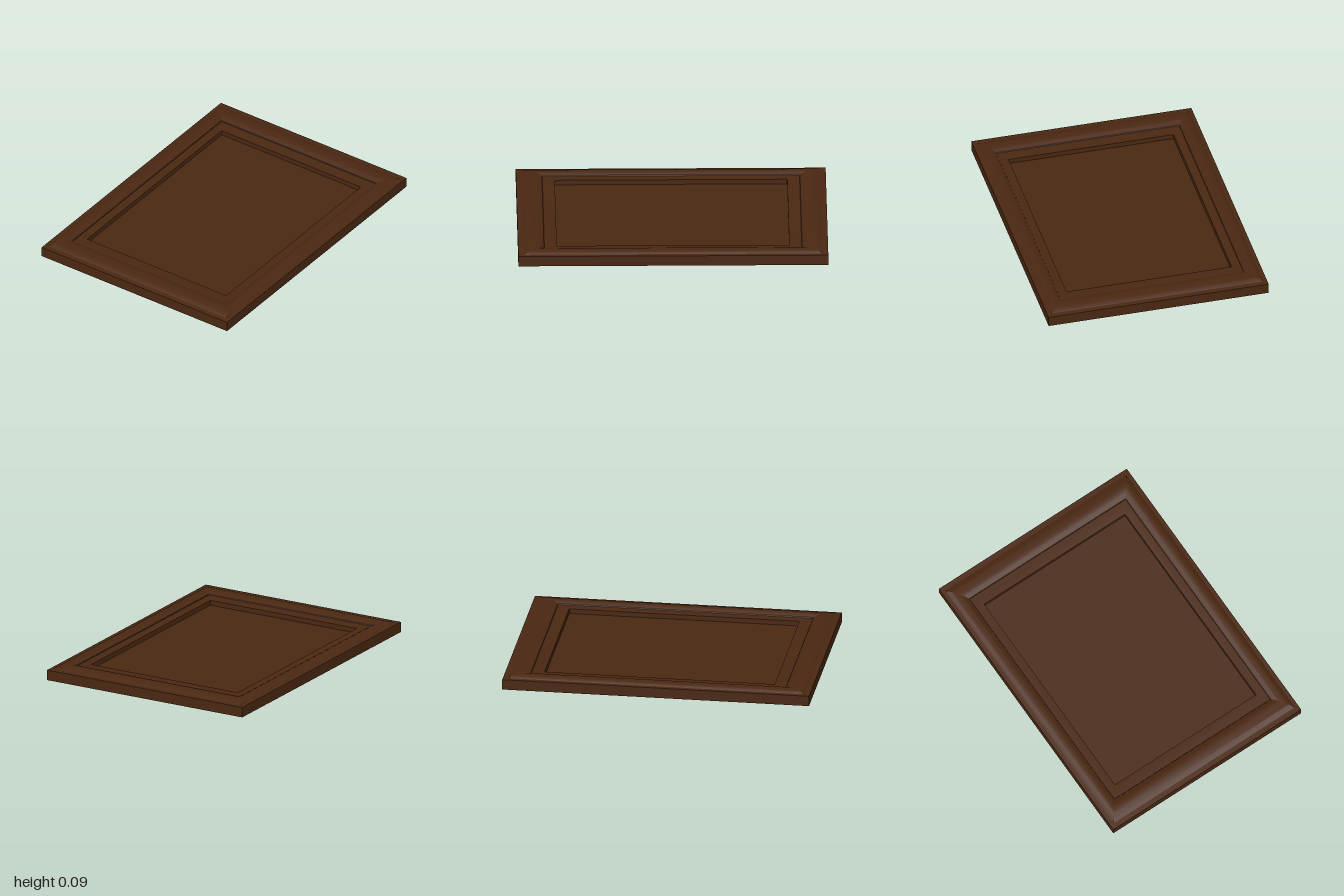
import * as THREE from 'three';
import { toCreasedNormals } from 'three/addons/utils/BufferGeometryUtils.js';

const DEPTH = 0.733; // the moulding narrows with the depth of the frame
const INNER = 0.25, PANEL_TOP = 0.033;

// Sweep an (inset, height) profile around four mitred sides
function mitredFrame(profile) {
  const corners = [[-1, 1], [1, 1], [1, -1], [-1, -1]];
  const at = ([inset, y], k) => {
    const [sx, sz] = corners[k % 4];
    return [sx * (1 - inset), y, sz * DEPTH * (1 - inset)];
  };
  const positions = [];
  for (let k = 0; k < 4; k++) {
    for (let i = 0; i < profile.length - 1; i++) {
      const a = at(profile[i], k), b = at(profile[i], k + 1);
      const c = at(profile[i + 1], k + 1), d = at(profile[i + 1], k);
      positions.push(...a, ...b, ...c, ...a, ...c, ...d);
    }
  }
  const geometry = new THREE.BufferGeometry();
  geometry.setAttribute('position', new THREE.Float32BufferAttribute(positions, 3));
  return toCreasedNormals(geometry, 0.35);
}

export function createModel() {
  const group = new THREE.Group();
  group.name = 'framedPanel';
  const wood = new THREE.MeshStandardMaterial({ color: 0x4a2812 });

  // Moulded frame: underside, outer wall, rounded crest, small step, inner wall
  const profile = [
    [INNER, 0], [0, 0], [0, 0.068], [0.035, 0.07],
    [0.05, 0.077], [0.07, 0.083], [0.09, 0.087], [0.105, 0.088], [0.125, 0.087],
    [0.14, 0.083], [0.155, 0.077], [0.167, 0.073],
    [0.17, 0.068], [0.21, 0.068], [INNER, 0.065], [INNER, PANEL_TOP],
  ];
  const frame = new THREE.Mesh(mitredFrame(profile), wood);
  frame.name = 'frame';
  group.add(frame);

  // Recessed flat panel filling the frame
  const panel = new THREE.Mesh(
    new THREE.BoxGeometry(2 * (1 - INNER), PANEL_TOP, 2 * DEPTH * (1 - INNER)), wood);
  panel.position.y = PANEL_TOP / 2;
  panel.name = 'panel';
  group.add(panel);

  return group;
}
